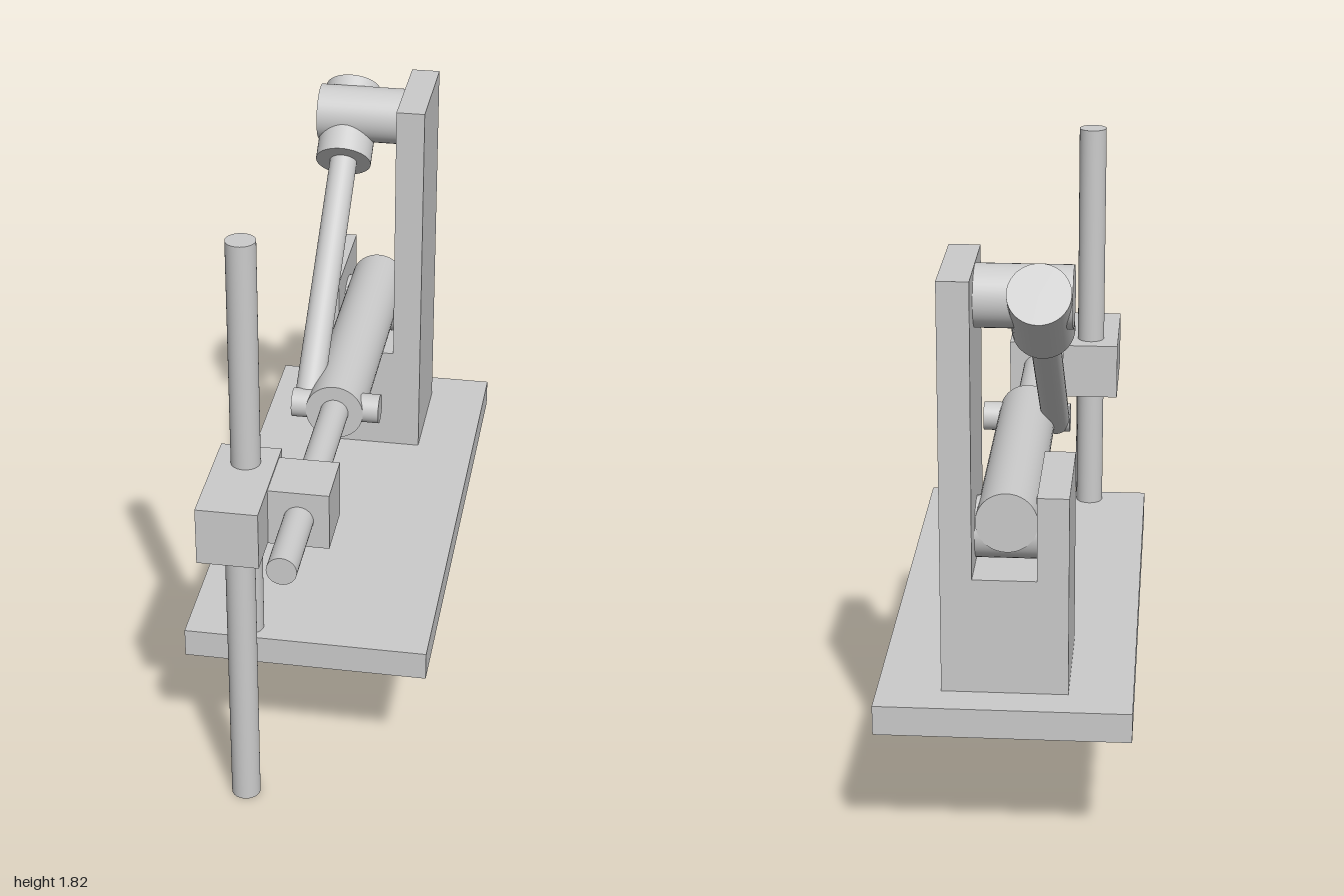
import * as THREE from 'three';

const material = new THREE.MeshStandardMaterial({ color: 0xcccccc });

export function createModel() {
  const group = new THREE.Group();

  const add = (name, geometry) => {
    const mesh = new THREE.Mesh(geometry, material);
    mesh.name = name;
    group.add(mesh);
    return mesh;
  };

  // Box given by its extents on each axis
  const box = (name, [x0, x1], [y0, y1], [z0, z1]) =>
    add(name, new THREE.BoxGeometry(x1 - x0, y1 - y0, z1 - z0))
      .position.set((x0 + x1) / 2, (y0 + y1) / 2, (z0 + z1) / 2);

  // Round bar running between two points
  const bar = (name, radius, from, to) => {
    const a = new THREE.Vector3(...from);
    const b = new THREE.Vector3(...to);
    const mesh = add(name, new THREE.CylinderGeometry(radius, radius, a.distanceTo(b), 40));
    mesh.position.copy(a).add(b).multiplyScalar(0.5);
    mesh.quaternion.setFromUnitVectors(new THREE.Vector3(0, 1, 0), b.sub(a).normalize());
  };

  const thin = 0.044;
  const thick = 0.09;
  const rodY = 1.005;

  // Base plate
  box('basePlate', [-0.37, 0.37], [0.425, 0.515], [-1, 0.66]);

  // Slotted upright with one tall and one short cheek
  const outline = new THREE.Shape([
    [-0.183, 0.515], [0.183, 0.515], [0.183, 1.742], [0.092, 1.742],
    [0.092, 0.867], [-0.092, 0.867], [-0.092, 1.12], [-0.183, 1.12],
  ].map(([x, y]) => new THREE.Vector2(x, y)));
  add('upright', new THREE.ExtrudeGeometry(outline, { depth: 0.365, bevelEnabled: false }))
    .position.z = -0.89;

  // Lower pivot, sleeve and sliding rod
  bar('lowerPivot', thick, [-0.092, 0.957, -0.71], [0.092, 0.957, -0.71]);
  bar('sleeve', thick, [0, rodY, -0.8], [0, rodY, 0.12]);
  bar('slidingRod', thin, [0, rodY, 0.1], [0, rodY, 1]);
  bar('crossPin', 0.045, [-0.137, rodY, 0.075], [0.137, rodY, 0.075]);

  // Upper pivot, slanted socket and strut
  bar('upperPivot', thick, [-0.183, 1.65, -0.71], [0.092, 1.65, -0.71]);
  const strutX = -0.092;
  const along = (s) => [strutX, 1.603 + 0.616 * s, -0.71 - 0.788 * s];
  bar('strutSocket', thick, along(-0.13), along(0.142));
  bar('strut', thin, along(-0.985), along(0));

  // Clamp blocks with the standing and hanging posts
  box('postClamp', [-0.272, -0.09], [0.92, 1.1], [0.51, 0.875]);
  box('rodClamp', [-0.09, 0.09], [0.915, 1.095], [0.55, 0.735]);
  bar('standingPost', thin, [-0.18, 0.515, 0.6], [-0.18, 1.82, 0.6]);
  bar('hangingPost', thin, [-0.17, 0, 0.755], [-0.17, 0.95, 0.755]);

  return group;
}
